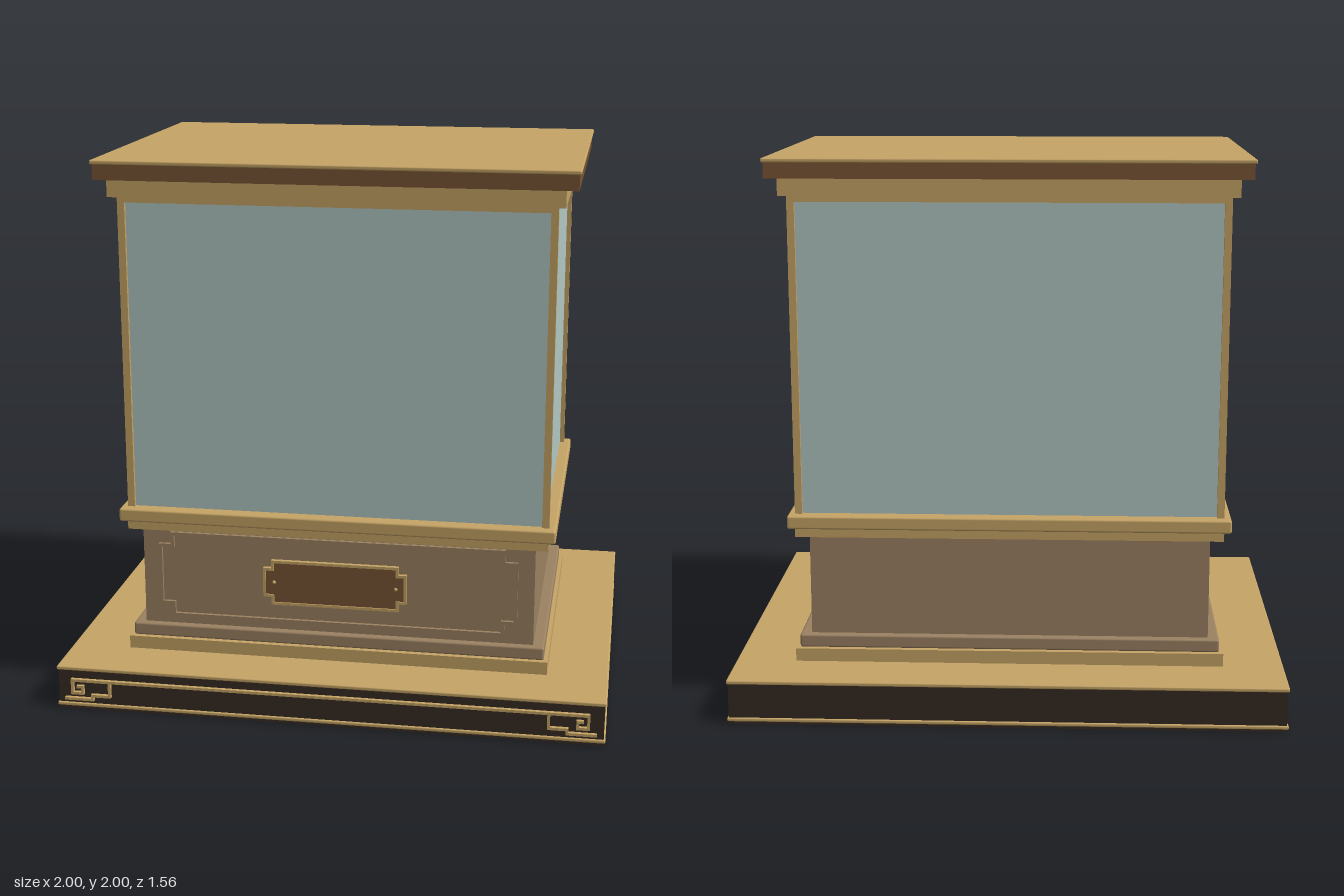
import * as THREE from 'three';
import { RoundedBoxGeometry } from 'three/addons/geometries/RoundedBoxGeometry.js';

const mat = (name, color) => {
  const m = new THREE.MeshStandardMaterial({ color });
  m.name = name;
  return m;
};

// Rectangle outline with square notched corners
function notched(path, w, h, n) {
  const pts = [
    [-w + n, -h], [w - n, -h], [w - n, -h + n], [w, -h + n],
    [w, h - n], [w - n, h - n], [w - n, h], [-w + n, h],
    [-w + n, h - n], [-w, h - n], [-w, -h + n], [-w + n, -h + n],
  ];
  path.setFromPoints(pts.map(([x, y]) => new THREE.Vector2(x, y)));
  return path;
}

export function createModel() {
  const model = new THREE.Group();
  const gold = mat('gold', 0xc6a465);
  const walnut = mat('walnut', 0x7a5534);
  const taupe = mat('taupe', 0x9b8162);
  const black = mat('ebony', 0x352b22);
  const glass = mat('paleGlass', 0xb2c8c3);

  const add = (parent, name, geo, material, x = 0, y = 0, z = 0) => {
    const m = new THREE.Mesh(geo, material);
    m.name = name;
    m.position.set(x, y, z);
    parent.add(m);
    return m;
  };

  // Stacked tiers, all sharing one centre
  const body = new THREE.Group();
  body.name = 'cabinet';
  body.position.z = -0.004;
  model.add(body);
  // name, half width, half depth, bottom, top, material, edge radius
  const tiers = [
    ['plinth', 0.994, 0.768, 0, 0.152, black, 0],
    ['plinthLowerTrim', 1.0, 0.774, 0.01, 0.024, gold, 0.005],
    ['plinthTop', 1.0, 0.774, 0.15, 0.165, gold, 0.005],
    ['footMoulding', 0.78, 0.566, 0.165, 0.213, gold, 0],
    ['footStep', 0.766, 0.552, 0.213, 0.262, taupe, 0.008],
    ['pedestal', 0.725, 0.527, 0.262, 0.637, taupe, 0],
    ['lowerSill', 0.772, 0.563, 0.637, 0.673, gold, 0],
    ['upperSill', 0.797, 0.59, 0.673, 0.722, gold, 0.008],
    ['glassCase', 0.755, 0.541, 0.722, 1.87, glass, 0],
    ['corniceBase', 0.797, 0.59, 1.868, 1.93, gold, 0],
    ['corniceBand', 0.84, 0.613, 1.93, 1.988, walnut, 0],
    ['corniceTop', 0.847, 0.623, 1.985, 2, gold, 0.005],
  ];
  for (const [name, hw, hd, y0, y1, m, r] of tiers) {
    const size = [hw * 2, y1 - y0, hd * 2];
    const geo = r ? new RoundedBoxGeometry(...size, 2, r) : new THREE.BoxGeometry(...size);
    add(body, name, geo, m, 0, (y0 + y1) / 2, 0);
  }

  // Corner posts and top rails of the glass case
  for (const sx of [-1, 1]) {
    for (const sz of [-1, 1]) {
      add(body, 'cornerPost', new THREE.BoxGeometry(0.026, 1.15, 0.026), gold, sx * 0.759, 1.296, sz * 0.542);
    }
    add(body, 'sideRail', new THREE.BoxGeometry(0.02, 0.012, 1.08), gold, sx * 0.757, 1.863, 0);
    add(body, 'endRail', new THREE.BoxGeometry(1.51, 0.024, 0.022), gold, 0, 1.857, sx * 0.542);
  }

  // Thin notched frame with uniform width
  const frame = (w, h, n, t, depth) => {
    const s = notched(new THREE.Shape(), w, h, n);
    s.holes.push(notched(new THREE.Path(), w - t, h - t, n));
    return new THREE.ExtrudeGeometry(s, { depth, bevelEnabled: false });
  };
  add(model, 'pedestalFrame', frame(0.665, 0.165, 0.046, 0.012, 0.014), taupe, 0, 0.458, 0.522);

  // Name plate, standing slightly proud of the pedestal
  const plaque = new THREE.Group();
  plaque.name = 'plaque';
  plaque.position.set(0, 0.46, 0.55);
  model.add(plaque);
  const plate = new THREE.ExtrudeGeometry(notched(new THREE.Shape(), 0.26, 0.08, 0.03), { depth: 0.011, bevelEnabled: false });
  add(plaque, 'plaquePanel', plate, walnut);
  add(plaque, 'plaqueBorder', frame(0.265, 0.086, 0.03, 0.01, 0.016), gold);
  for (const sx of [-1, 1]) {
    add(plaque, 'plaqueStud', new THREE.SphereGeometry(0.007, 12, 8), gold, sx * 0.225, 0, 0.011);
  }

  // Key-pattern line on the plinth front
  const ornament = new THREE.Group();
  ornament.name = 'keyOrnament';
  model.add(ornament);
  const t = 0.01;
  const stroke = ([x0, y0], [x1, y1]) => add(ornament, 'keyLine',
    new THREE.BoxGeometry(Math.abs(x1 - x0) + t, Math.abs(y1 - y0) + t, 0.016),
    gold, (x0 + x1) / 2, (y0 + y1) / 2, 0.77);
  stroke([-0.94, 0.115], [0.94, 0.115]);
  const hook = [[0.94, 0.115], [0.94, 0.065], [0.902, 0.065], [0.902, 0.09], [0.918, 0.09]];
  const tail = [[0.8, 0.115], [0.8, 0.058], [0.865, 0.058], [0.865, 0.042], [0.965, 0.042]];
  for (const sx of [-1, 1]) {
    for (const line of [hook, tail]) {
      for (let i = 1; i < line.length; i++) {
        stroke([sx * line[i - 1][0], line[i - 1][1]], [sx * line[i][0], line[i][1]]);
      }
    }
  }
  return model;
}
